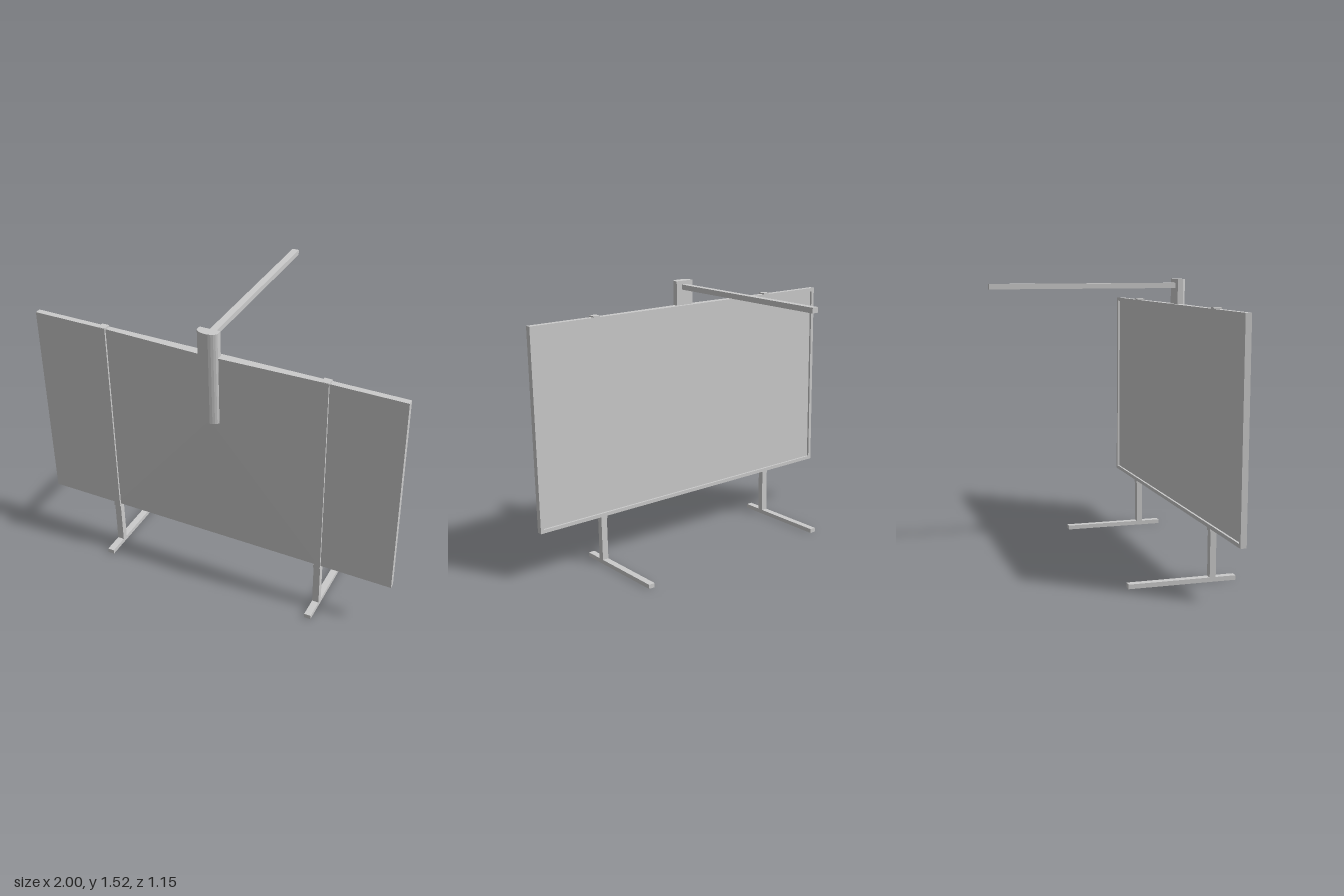
import * as THREE from 'three';

const material = new THREE.MeshStandardMaterial({ color: 0xcccccc, flatShading: true, side: THREE.DoubleSide });

function add(parent, name, geometry) {
  const mesh = new THREE.Mesh(geometry, material);
  mesh.name = name;
  parent.add(mesh);
  return mesh;
}

// Box given by its minimum and maximum corners
function box(parent, name, [x0, y0, z0], [x1, y1, z1]) {
  const mesh = add(parent, name, new THREE.BoxGeometry(x1 - x0, y1 - y0, z1 - z0));
  mesh.position.set((x0 + x1) / 2, (y0 + y1) / 2, (z0 + z1) / 2);
  return mesh;
}

function rectangle(path, x0, y0, x1, y1) {
  path.moveTo(x0, y0).lineTo(x1, y0).lineTo(x1, y1).lineTo(x0, y1).closePath();
  return path;
}

const BOTTOM = 0.28, TOP = 1.39, POST_X = 0.6;

function createBoard() {
  const board = new THREE.Group();
  board.name = 'board';
  box(board, 'boardPanel', [-1, BOTTOM, 0.442], [1, TOP, 0.462]);

  // Raised border around the writing surface
  const border = rectangle(new THREE.Shape(), -1, BOTTOM, 1, TOP);
  border.holes.push(rectangle(new THREE.Path(), -0.98, BOTTOM + 0.02, 0.98, TOP - 0.02));
  const frame = new THREE.ExtrudeGeometry(border, { depth: 0.013, bevelEnabled: false });
  add(board, 'boardFrame', frame.translate(0, 0, 0.43));

  // Shallow ridge between the posts, falling away from the column foot
  const z = 0.462, ridgeZ = 0.479;
  const points = [
    -POST_X, BOTTOM, z, POST_X, BOTTOM, z, POST_X, TOP, z, -POST_X, TOP, z,
    0, 1.02, ridgeZ, 0, TOP, ridgeZ, 0, TOP, z,
  ];
  const ridge = new THREE.BufferGeometry();
  ridge.setAttribute('position', new THREE.Float32BufferAttribute(points, 3));
  ridge.setIndex([0, 1, 4, 1, 2, 4, 2, 5, 4, 3, 0, 4, 3, 4, 5, 2, 6, 5, 6, 3, 5]);
  const flatRidge = ridge.toNonIndexed();
  flatRidge.computeVertexNormals();
  add(board, 'boardBackRidge', flatRidge);
  return board;
}

function createStand(side) {
  const stand = new THREE.Group();
  stand.name = side > 0 ? 'leftStand' : 'rightStand';
  const w = 0.018;
  box(stand, 'foot', [-w, 0, 0], [w, 0.024, 0.576]);
  box(stand, 'leg', [-w, 0.024, 0.434], [w, BOTTOM, 0.467]);
  box(stand, 'post', [-w, 0.265, 0.445], [w, 1.396, 0.473]);
  // Clips gripping the board edges
  box(stand, 'topClip', [-0.02, TOP, 0.43], [0.02, 1.398, 0.472]);
  box(stand, 'bottomClip', [-0.02, 0.266, 0.43], [0.02, BOTTOM, 0.472]);
  stand.position.x = side * POST_X;
  return stand;
}

function createProjectorMount() {
  const mount = new THREE.Group();
  mount.name = 'overheadMount';

  // Column with a rounded back
  const profile = new THREE.Shape();
  profile.moveTo(-0.055, -0.45).lineTo(0.055, -0.45).lineTo(0.055, -0.48);
  profile.bezierCurveTo(0.04, -0.513, -0.04, -0.513, -0.055, -0.48);
  profile.closePath();
  const column = new THREE.ExtrudeGeometry(profile, { depth: 0.505, bevelEnabled: false, curveSegments: 10 });
  add(mount, 'column', column.rotateX(-Math.PI / 2).translate(0, 1.02, 0));

  // Boom reaching over the writing side
  box(mount, 'boom', [-0.018, 1.476, -0.576], [0.018, 1.504, 0.455]);
  return mount;
}

export function createModel() {
  const model = new THREE.Group();
  model.name = 'whiteboardOnStand';
  model.add(createBoard(), createStand(-1), createStand(1), createProjectorMount());
  return model;
}
